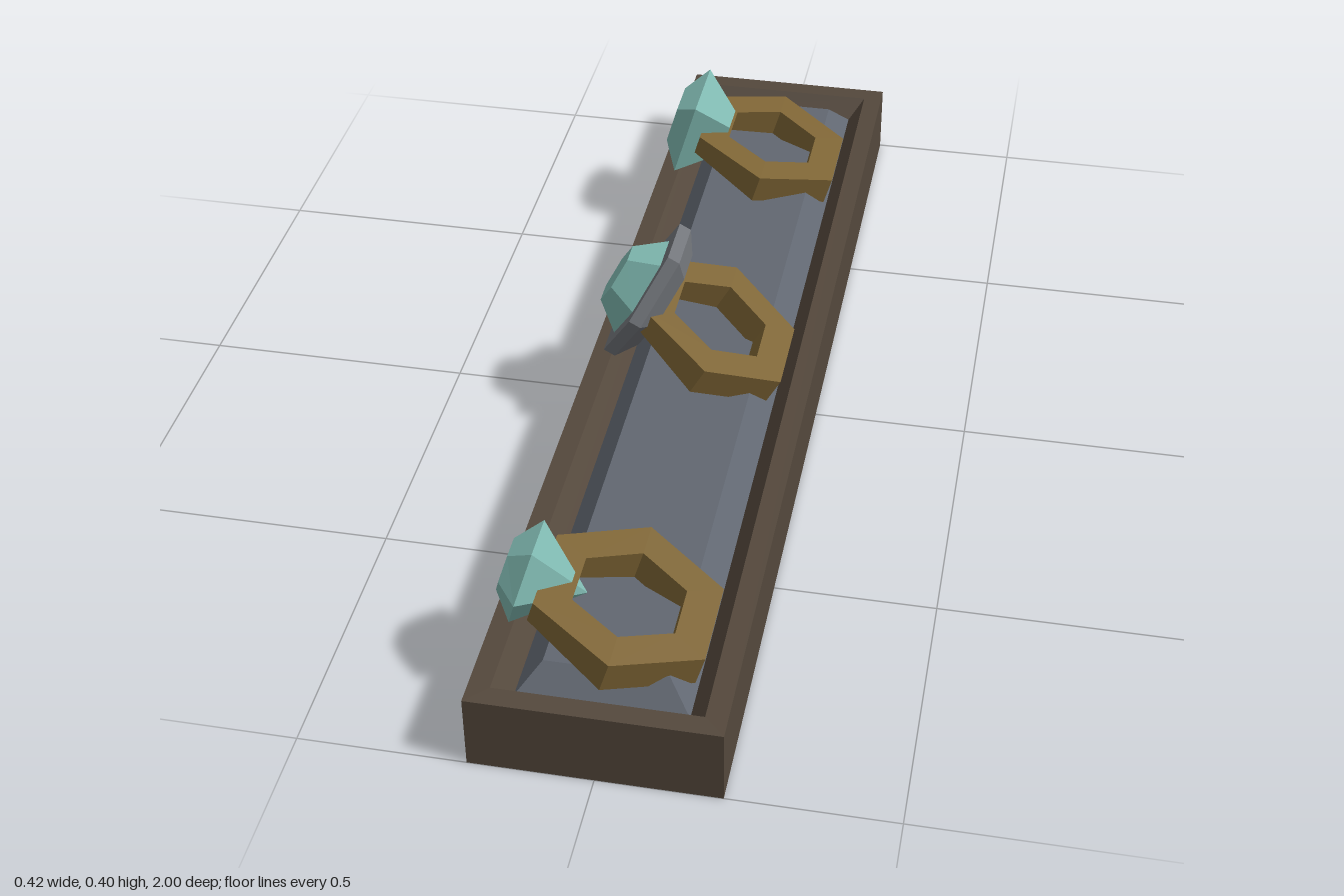
import * as THREE from 'three';

const material = (color) => new THREE.MeshStandardMaterial({ color, flatShading: true });
const wood = material(0x54483c);
const velvet = material(0x616771);
const gold = material(0x7d6434);
const teal = material(0x7fb8b0);
const steel = material(0x717479);

// Unit outlines as [x, z]
const RECT = [[1, 1], [-1, 1], [-1, -1], [1, -1]];
const HEX = [[1, -0.5], [1, 0.5], [0, 1], [-1, 0.5], [-1, -0.5], [0, -1]];

// Faceted solid through sections [y, half width in x, half width in z], bottom first
function loft(outline, sections) {
  const n = outline.length;
  const rows = sections.map(([y, hx, hz]) => outline.map(([x, z]) => [x * hx, y, z * hz]));
  const pos = [];
  const tri = (a, b, c) => pos.push(...a, ...b, ...c);
  for (let r = 0; r < rows.length - 1; r++) {
    const a = rows[r], b = rows[r + 1];
    for (let i = 0; i < n; i++) {
      const j = (i + 1) % n;
      tri(a[i], b[i], a[j]);
      tri(a[j], b[i], b[j]);
    }
  }
  const first = rows[0], last = rows[rows.length - 1];
  for (let i = 1; i < n - 1; i++) {
    tri(first[0], first[i], first[i + 1]);
    tri(last[0], last[i + 1], last[i]);
  }
  const geo = new THREE.BufferGeometry();
  geo.setAttribute('position', new THREE.Float32BufferAttribute(pos, 3));
  geo.computeVertexNormals();
  return geo;
}

function addMesh(parent, name, geo, mat) {
  const mesh = new THREE.Mesh(geo, mat);
  mesh.name = name;
  parent.add(mesh);
  return mesh;
}

// Hexagonal band lying flat, thinner toward the stone at -x
function bandGeometry() {
  const trace = (path, r) => {
    const pts = HEX.map(([x, z]) => new THREE.Vector2(x * r * Math.sqrt(3) / 2, z * r));
    return path.setFromPoints(pts);
  };
  const shape = trace(new THREE.Shape(), 0.168);
  shape.holes.push(trace(new THREE.Path(), 0.101));
  const geo = new THREE.ExtrudeGeometry(shape, { depth: 2, bevelEnabled: false });
  geo.translate(0, 0, -1).rotateX(-Math.PI / 2);
  const p = geo.attributes.position;
  for (let i = 0; i < p.count; i++) {
    const half = 0.029 + 0.009 * Math.min(0, p.getX(i)) / 0.145;
    p.setY(i, p.getY(i) * half);
  }
  geo.computeVertexNormals();
  return geo;
}

// Band plus a head whose axis points outward along the band's -x
function addRing(parent, name, [x, y, z], tiltDeg, headOffset, headParts) {
  const ring = new THREE.Group();
  ring.name = name;
  ring.position.set(x, y, z);
  ring.rotation.z = -THREE.MathUtils.degToRad(tiltDeg);
  addMesh(ring, 'band', bandGeometry(), gold);
  for (const [part, outline, sections, mat] of headParts) {
    const mesh = addMesh(ring, part, loft(outline, sections), mat);
    mesh.rotation.z = Math.PI / 2;
    mesh.position.x = -headOffset;
  }
  parent.add(ring);
}

export function createModel() {
  const model = new THREE.Group();
  model.name = 'ringTray';

  // Tray with sloped inner walls, and its padded cushion
  addMesh(model, 'tray', loft(RECT, [
    [0, 0.212, 1], [0.14, 0.212, 1], [0.14, 0.175, 0.963], [0.1, 0.145, 0.933],
  ]), wood);
  addMesh(model, 'cushion', loft(RECT, [[0.1, 0.145, 0.933], [0.146, 0.105, 0.893]]), velvet);

  // Pointed hexagonal stone
  addRing(model, 'pointedStoneRing', [0.009, 0.18, 0.78], 16.5, 0.173, [
    ['stone', HEX, [[-0.105, 0.001, 0.001], [0, 0.081, 0.086], [0.037, 0.04, 0.045]], teal],
  ]);

  // Large stone on a bevelled plate
  addRing(model, 'plateRing', [0.018, 0.207, 0.035], 29, 0.158, [
    ['plate', HEX, [[-0.051, 0.093, 0.08], [-0.024, 0.13, 0.112], [0, 0.13, 0.112]], steel],
    ['stone', HEX, [[-0.01, 0.094, 0.082], [0, 0.094, 0.082], [0.054, 0.055, 0.047]], teal],
  ]);

  // Square step-cut stone
  addRing(model, 'squareStoneRing', [0.009, 0.18, -0.66], 16.5, 0.173, [
    ['stone', RECT, [[-0.08, 0.035, 0.035], [0, 0.081, 0.084], [0.037, 0.04, 0.045]], teal],
  ]);

  return model;
}
